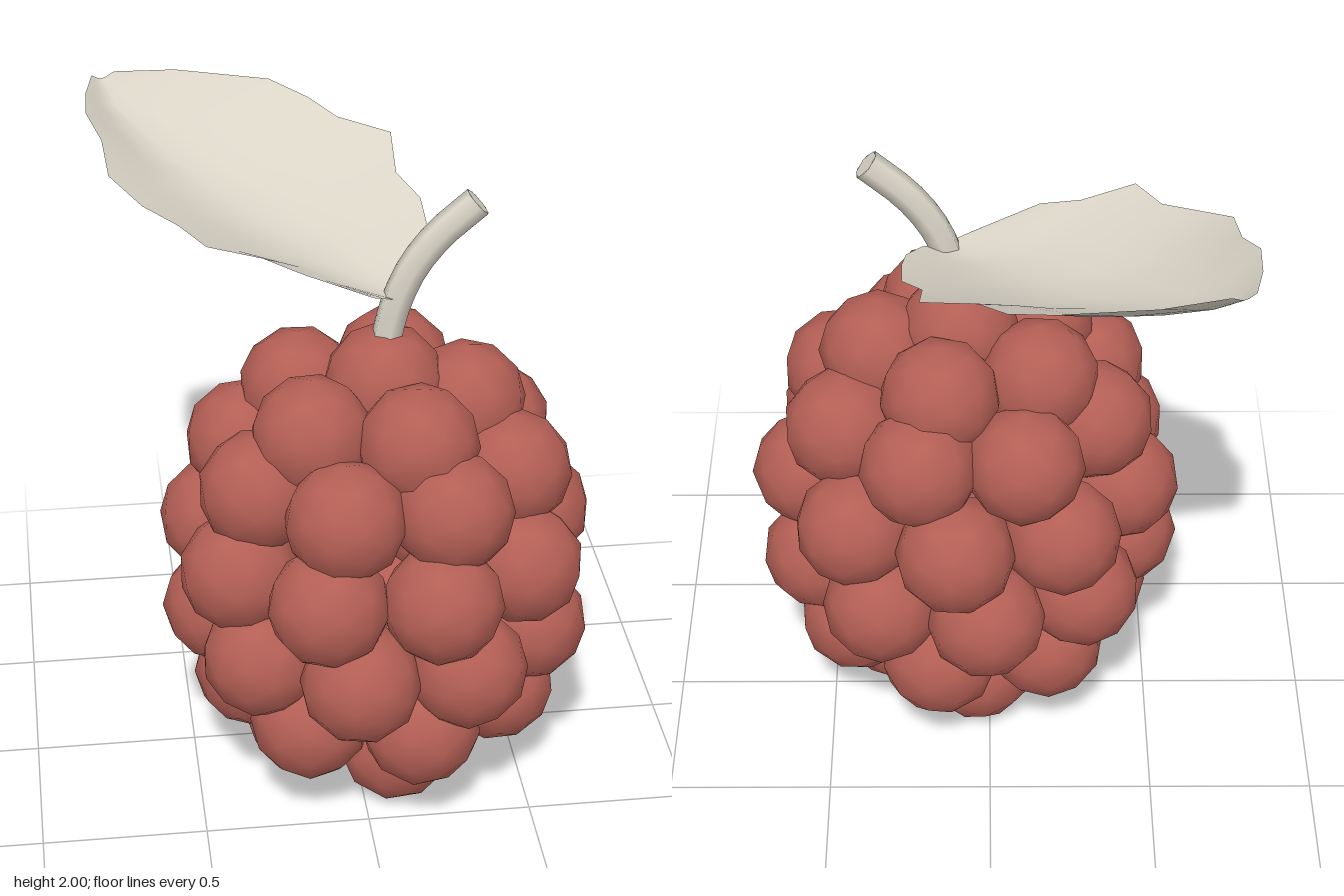
import * as THREE from 'three';

const BERRY_X = 0.07, BERRY_Z = 0.118;

// Rings of drupelets: [height, ring radius, count, phase in degrees from +z toward +x]
const RINGS = [
  [0.187, 0.235, 4, 8],
  [0.34, 0.387, 7, 13],
  [0.57, 0.478, 9, 27],
  [0.83, 0.488, 9, 16],
  [1.08, 0.412, 8, 25],
  [1.245, 0.268, 5, 19],
  [1.32, 0.02, 1, 90],
];

// Leaf cross-sections from base to tip: left edge, midrib, right edge
const LEAF = [
  [0.05, 1.63, 0.175, 0.13, 1.61, 0.145, 0.2, 1.63, 0.09],
  [-0.15, 1.72, 0.185, 0.06, 1.615, 0.07, 0.245, 1.66, 0],
  [-0.27, 1.76, 0.14, -0.02, 1.635, -0.01, 0.255, 1.69, -0.1],
  [-0.43, 1.81, 0.15, -0.1, 1.66, -0.1, 0.25, 1.74, -0.265],
  [-0.5, 1.82, 0.02, -0.2, 1.685, -0.2, 0.19, 1.78, -0.37],
  [-0.6, 1.85, -0.065, -0.28, 1.715, -0.3, 0.195, 1.845, -0.53],
  [-0.69, 1.9, -0.18, -0.38, 1.755, -0.39, 0.035, 1.88, -0.59],
  [-0.7, 1.94, -0.35, -0.48, 1.805, -0.5, -0.045, 1.91, -0.685],
  [-0.74, 1.98, -0.47, -0.56, 1.86, -0.58, -0.16, 1.95, -0.75],
  [-0.735, 1.99, -0.6, -0.64, 1.92, -0.66, -0.45, 1.985, -0.775],
  [-0.71, 2.0, -0.72, -0.68, 1.985, -0.73, -0.64, 2.0, -0.745],
];

function leafGeometry() {
  const across = 8, positions = [], index = [];
  LEAF.forEach((s, i) => {
    const points = [0, 3, 6].map((k) => new THREE.Vector3(s[k], s[k + 1], s[k + 2]));
    const curve = new THREE.CatmullRomCurve3(points);
    for (let j = 0; j <= across; j++) {
      positions.push(...curve.getPoint(j / across).toArray());
      if (i === 0 || j === 0) continue;
      const d = i * (across + 1) + j, c = d - 1, b = d - across - 1, a = b - 1;
      index.push(a, b, c, b, d, c);
    }
  });
  const geometry = new THREE.BufferGeometry();
  geometry.setAttribute('position', new THREE.Float32BufferAttribute(positions, 3));
  geometry.setIndex(index);
  geometry.computeVertexNormals();
  return geometry;
}

export function createModel() {
  const model = new THREE.Group();
  model.name = 'berry';
  const red = new THREE.MeshStandardMaterial({ color: 0xb45f55 });
  red.name = 'berry red';
  const pale = new THREE.MeshStandardMaterial({ color: 0xdad4c7, side: THREE.DoubleSide });
  pale.name = 'pale stem';

  // Fruit: rings of round drupelets around a hollow middle
  const fruit = new THREE.Group();
  fruit.name = 'fruit';
  fruit.position.set(BERRY_X, 0, BERRY_Z);
  const ball = new THREE.IcosahedronGeometry(0.183, 1);
  for (const [y, radius, count, phase] of RINGS) {
    for (let i = 0; i < count; i++) {
      const angle = THREE.MathUtils.degToRad(phase) + (i / count) * Math.PI * 2;
      const drupelet = new THREE.Mesh(ball, red);
      drupelet.name = 'drupelet';
      drupelet.position.set(radius * Math.sin(angle), y, radius * Math.cos(angle));
      drupelet.rotation.y = angle;
      fruit.add(drupelet);
    }
  }
  model.add(fruit);

  // Stem: bent six-sided tube with a flat cut end
  const path = new THREE.CatmullRomCurve3(
    [[0.085, 1.4], [0.113, 1.55], [0.163, 1.68], [0.242, 1.79], [0.36, 1.895]]
      .map(([x, y]) => new THREE.Vector3(x, y, 0.12)));
  const stem = new THREE.Mesh(new THREE.TubeGeometry(path, 10, 0.047, 6), pale);
  stem.name = 'stem';
  const cut = new THREE.Mesh(new THREE.CircleGeometry(0.047, 6), pale);
  cut.name = 'stemCut';
  cut.position.copy(path.getPoint(1));
  cut.quaternion.setFromUnitVectors(new THREE.Vector3(0, 0, 1), path.getTangent(1));
  model.add(stem, cut);

  // Leaf: thin cupped blade rising to its tip
  const leaf = new THREE.Mesh(leafGeometry(), pale);
  leaf.name = 'leaf';
  model.add(leaf);

  return model;
}
